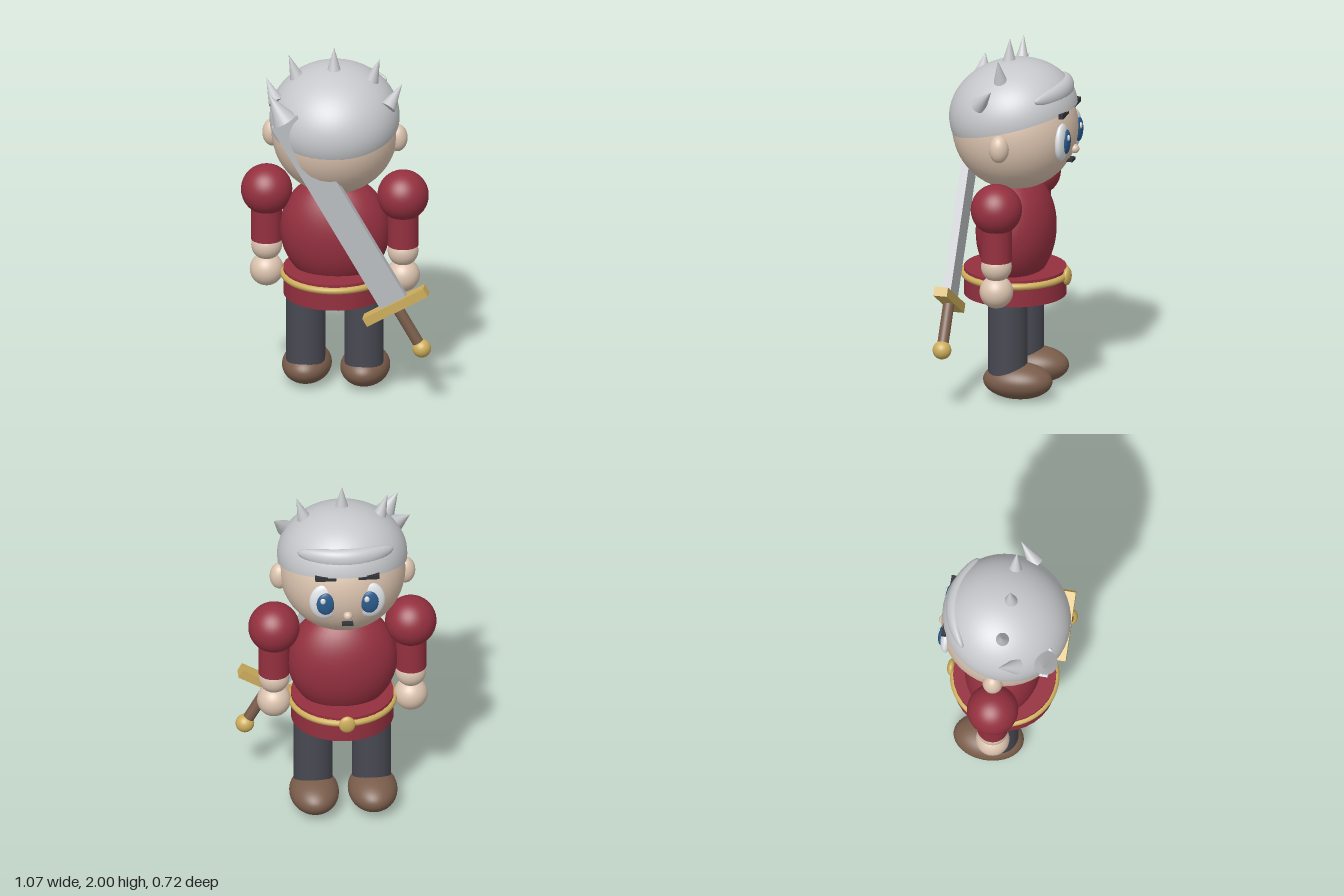
import * as THREE from 'three';

const CX = -0.023; // body centre line
const mat = (name, color, extra = {}) => Object.assign(new THREE.MeshStandardMaterial({ color, ...extra }), { name });

export function createModel() {
  const model = new THREE.Group();
  model.name = 'knight';

  const hair = mat('hair silver', 0xc6c8cb, { side: THREE.DoubleSide });
  const steel = mat('steel', 0xbabdc1);
  const skin = mat('skin', 0xdac2ae);
  const red = mat('tunic red', 0x94303f);
  const dark = mat('trousers', 0x484852);
  const brown = mat('leather', 0x7a5d4b);
  const gold = mat('gold', 0xcdae5c);
  const white = mat('eye white', 0xe9edf1);
  const blue = mat('iris blue', 0x2c5c8c);
  const black = mat('brow black', 0x34343a);

  const add = (name, geo, material, x, y, z, parent = body) => {
    const m = new THREE.Mesh(geo, material);
    m.name = name;
    m.position.set(x, y, z);
    parent.add(m);
    return m;
  };
  const ball = (rx, ry = rx, rz = rx) => new THREE.SphereGeometry(1, 40, 28).scale(rx, ry, rz);
  const cyl = (r, h) => new THREE.CylinderGeometry(r, r, h, 32);
  const box = (w, h, d) => new THREE.BoxGeometry(w, h, d);

  const body = new THREE.Group();
  body.name = 'body';
  body.position.x = CX;
  model.add(body);

  // Cone running from a base point to a tip
  const spike = (name, base, tip, r) => {
    const a = new THREE.Vector3(...base), b = new THREE.Vector3(...tip);
    const dir = b.clone().sub(a), mid = a.clone().add(b).multiplyScalar(0.5);
    const m = add(name, new THREE.ConeGeometry(r, dir.length(), 24), hair, mid.x, mid.y, mid.z);
    m.quaternion.setFromUnitVectors(new THREE.Vector3(0, 1, 0), dir.normalize());
  };

  // Torso, skirt and belt
  add('torso', ball(0.3, 0.32, 0.213), red, 0, 0.92, -0.005);
  add('skirt', cyl(0.281, 0.15), red, 0, 0.627, 0);
  add('belt', new THREE.TorusGeometry(0.28, 0.019, 12, 56).rotateX(Math.PI / 2), gold, 0, 0.668, 0);
  add('buckle', ball(0.045, 0.05, 0.022), gold, 0, 0.668, -0.295);

  // Head and hair cap
  add('head', ball(0.345), skin, 0, 1.5, 0);
  const cap = add('hairCap',
    new THREE.SphereGeometry(1, 48, 28, 0, Math.PI * 2, 0, 1.69).scale(0.355, 0.29, 0.355), hair, 0, 1.585, 0.01);
  cap.rotation.x = 0.26;

  // Fringe: a long ellipsoid bent around the forehead
  const fringe = ball(0.264, 0.058, 0.045);
  const p = fringe.attributes.position;
  for (let i = 0; i < p.count; i++) p.setZ(i, p.getZ(i) + 1.2 * p.getX(i) ** 2);
  fringe.computeVertexNormals();
  add('fringe', fringe, hair, 0, 1.73, -0.275);

  spike('crownSpike', [0, 1.845, 0.035], [0, 1.998, 0.03], 0.043);

  // Face centre
  add('nose', ball(0.025), skin, 0, 1.4, -0.338);
  add('mouth', box(0.06, 0.016, 0.04), black, 0, 1.338, -0.312);

  // Mirrored parts
  for (const s of [-1, 1]) {
    const side = s > 0 ? 'left' : 'right';
    spike(side + 'UpperSpike', [s * 0.2, 1.795, 0.022], [s * 0.25, 1.942, 0.026], 0.043);
    spike(side + 'LowerSpike', [s * 0.305, 1.695, 0.118], [s * 0.373, 1.802, 0.027], 0.045);
    add(side + 'Ear', ball(0.055, 0.077, 0.055), skin, s * 0.343, 1.47, -0.008);

    add(side + 'Eye', ball(0.085, 0.11, 0.034), white, s * 0.122, 1.475, -0.299);
    add(side + 'Iris', ball(0.05, 0.068, 0.02), blue, s * 0.12, 1.475, -0.326);
    add(side + 'EyeGlint', ball(0.015, 0.018, 0.008), white, s * 0.12 + 0.016, 1.502, -0.342);
    add(side + 'Brow', box(0.115, 0.026, 0.026), black, s * 0.118, 1.63, -0.309);

    add(side + 'Shoulder', ball(0.14), red, s * 0.374, 1.135, -0.003);
    add(side + 'Sleeve', cyl(0.085, 0.27), red, s * 0.374, 0.98, -0.003);
    add(side + 'Wrist', ball(0.084), skin, s * 0.374, 0.81, -0.003);
    add(side + 'Hand', ball(0.092), skin, s * 0.374, 0.667, -0.003);

    add(side + 'Leg', cyl(0.107, 0.49), dark, s * 0.16, 0.355, -0.004);
    add(side + 'Shoe', ball(0.135, 0.1, 0.193), brown, s * 0.16, 0.102, -0.061);
  }

  // Sword slung across the back, origin at the guard
  const sword = new THREE.Group();
  sword.name = 'sword';
  sword.position.set(0.344, 0.595, 0.266);
  sword.rotation.z = Math.PI / 6;
  model.add(sword);
  add('blade', box(0.16, 1.22, 0.046), steel, 0, 0.61, 0, sword);
  add('bladeTip', new THREE.ConeGeometry(0.068, 0.17, 24), hair, 0, 1.305, 0, sword);
  add('guard', box(0.385, 0.052, 0.076), gold, 0, 0, 0, sword);
  add('grip', cyl(0.031, 0.26), brown, 0, -0.14, 0, sword);
  add('pommel', ball(0.051), gold, 0, -0.283, 0, sword);

  return model;
}
